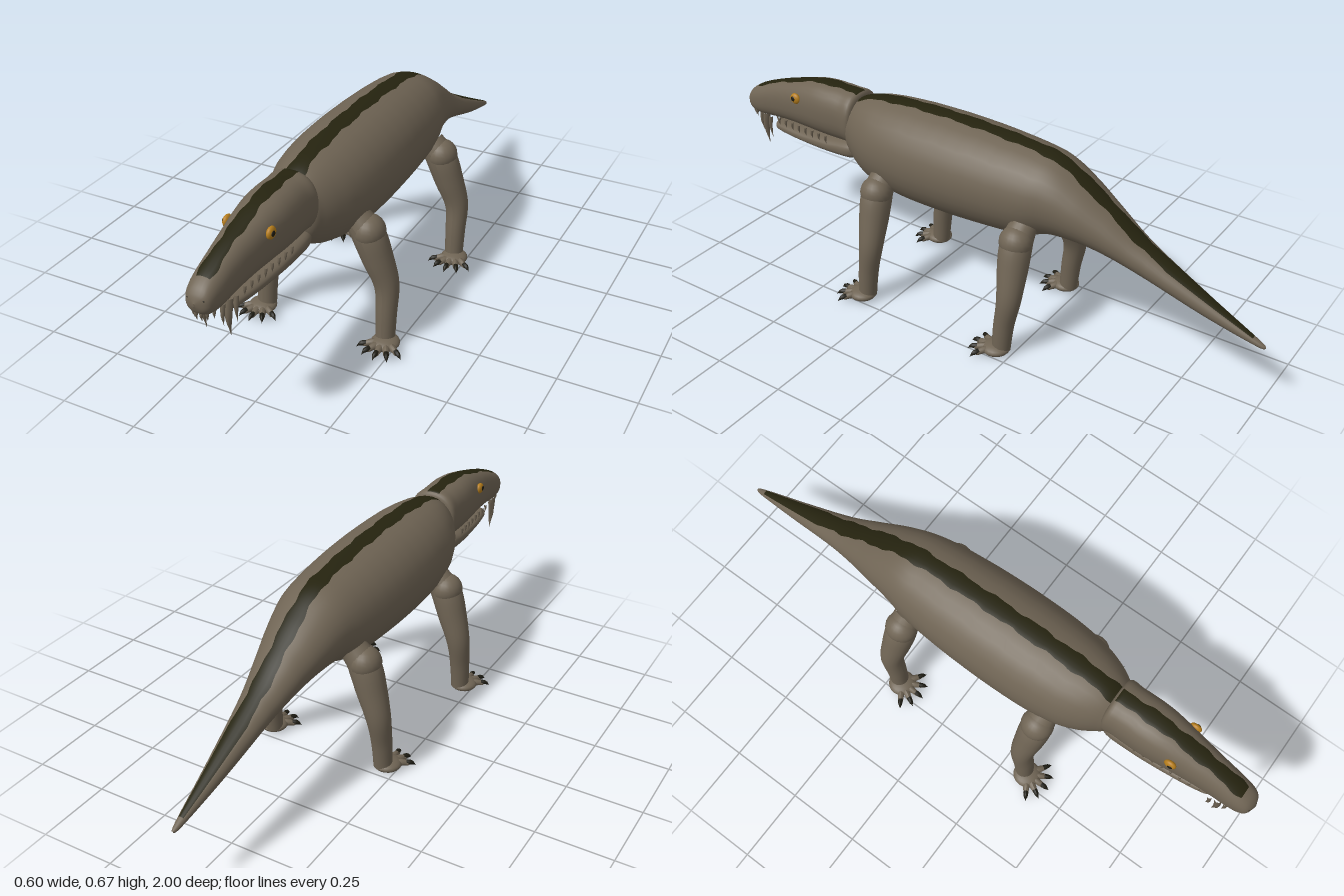
import * as THREE from 'three';

const mat = (name, color) => {
  const m = new THREE.MeshStandardMaterial({ color });
  m.name = name;
  return m;
};

// Smooth interpolation through a list of number rows, t in 0..1
function sample(rows, t) {
  const f = t * (rows.length - 1), i = Math.min(Math.floor(f), rows.length - 2), u = f - i;
  const at = k => rows[Math.max(0, Math.min(rows.length - 1, k))];
  const [a, b, c, d] = [at(i - 1), at(i), at(i + 1), at(i + 2)];
  return b.map((_, k) => b[k] + 0.5 * u * (c[k] - a[k]
    + u * (2 * a[k] - 5 * b[k] + 4 * c[k] - d[k] + u * (3 * (b[k] - c[k]) + d[k] - a[k]))));
}

// Skin over rows of [z, top, bottom, halfWidth]; the top columns form the back stripe
function loft(rows, { steps = 60, power = 1, stripe = [9, 9], width = 0.028 } = {}) {
  const side = 28, band = 4, n = side + band, pos = [], skinIdx = [], stripeIdx = [];
  for (let i = 0; i <= steps; i++) {
    const [z, top, bottom, w] = sample(rows, i / steps);
    const rx = Math.max(w, 0.0005), ry = Math.max((top - bottom) / 2, 0.0005);
    const wave = width + 0.003 * Math.sin(z * 43) + 0.002 * Math.sin(z * 97);
    const a0 = Math.asin(Math.pow(Math.min(wave / rx, 0.6), 1 / power));
    for (let j = 0; j < n; j++) {
      const a = j <= band ? -a0 + 2 * a0 * j / band
        : a0 + (2 * Math.PI - 2 * a0) * (j - band) / side;
      const s = Math.sin(a), c = Math.cos(a);
      pos.push(rx * Math.sign(s) * Math.abs(s) ** power,
        (top + bottom) / 2 + ry * Math.sign(c) * Math.abs(c) ** power, z);
    }
    if (i === steps) break;
    for (let j = 0; j < n; j++) {
      const k = (j + 1) % n, p = i * n;
      const painted = j < band && z >= stripe[0] && z <= stripe[1];
      (painted ? stripeIdx : skinIdx).push(p + j, p + n + j, p + k, p + k, p + n + j, p + n + k);
    }
  }
  const g = new THREE.BufferGeometry();
  g.setAttribute('position', new THREE.Float32BufferAttribute(pos, 3));
  g.setIndex([...skinIdx, ...stripeIdx]);
  g.addGroup(0, skinIdx.length, 0);
  g.addGroup(skinIdx.length, stripeIdx.length, 1);
  g.computeVertexNormals();
  return g;
}

// Tube along points whose radius follows a list
function taper(points, radii, steps = 6, sides = 8) {
  const curve = new THREE.CatmullRomCurve3(points.map(p => new THREE.Vector3(...p)));
  const g = new THREE.TubeGeometry(curve, steps, 1, sides);
  const p = g.attributes.position, v = new THREE.Vector3();
  for (let i = 0; i < p.count; i++) {
    const t = Math.floor(i / (sides + 1)) / steps, c = curve.getPointAt(t);
    const r = Math.max(sample(radii.map(x => [x]), t)[0], 0.0005);
    v.fromBufferAttribute(p, i).sub(c).multiplyScalar(r).add(c);
    p.setXYZ(i, v.x, v.y, v.z);
  }
  g.computeVertexNormals();
  return g;
}

export function createModel() {
  const root = new THREE.Group();
  root.name = 'sabreToothedReptile';
  const skin = mat('skin', 0x6f6454), dark = mat('darkStripe', 0x25230f);
  const amber = mat('eyeAmber', 0xb57d1c), black = mat('clawBlack', 0x1d1b12);
  const add = (name, geometry, material, parent = root) => {
    const m = new THREE.Mesh(geometry, material);
    m.name = name;
    parent.add(m);
    return m;
  };
  const ball = (name, material, p, s, parent) => {
    const m = add(name, new THREE.SphereGeometry(1, 20, 14), material, parent);
    m.position.set(...p);
    m.scale.set(...s);
    return m;
  };

  // Body and tail
  add('bodyAndTail', loft([
    [-1, 0.228, 0.222, 0.002], [-0.97, 0.245, 0.223, 0.012], [-0.8, 0.33, 0.268, 0.034],
    [-0.6, 0.436, 0.335, 0.06], [-0.48, 0.518, 0.37, 0.085], [-0.38, 0.587, 0.385, 0.11],
    [-0.29, 0.636, 0.382, 0.13], [-0.2, 0.653, 0.352, 0.148], [-0.05, 0.665, 0.34, 0.16],
    [0.1, 0.67, 0.335, 0.164], [0.25, 0.669, 0.337, 0.16], [0.36, 0.662, 0.35, 0.145],
    [0.43, 0.652, 0.37, 0.122], [0.48, 0.635, 0.4, 0.095], [0.51, 0.61, 0.43, 0.07],
    [0.53, 0.53, 0.5, 0.005],
  ], { steps: 110, stripe: [-0.96, 0.5] }), [skin, dark]);

  // Head and lower jaw
  add('head', loft([
    [0.485, 0.57, 0.56, 0.003], [0.488, 0.642, 0.47, 0.078], [0.54, 0.651, 0.462, 0.082],
    [0.63, 0.652, 0.462, 0.082], [0.7, 0.642, 0.463, 0.075], [0.78, 0.621, 0.463, 0.064],
    [0.86, 0.597, 0.458, 0.055], [0.93, 0.57, 0.452, 0.05], [0.97, 0.548, 0.457, 0.043],
    [0.99, 0.527, 0.472, 0.03], [1, 0.505, 0.495, 0.003],
  ], { steps: 70, power: 0.85, stripe: [0.49, 0.95], width: 0.023 }), [skin, dark]);
  add('lowerJaw', loft([
    [0.49, 0.45, 0.43, 0.003], [0.5, 0.475, 0.408, 0.06], [0.6, 0.462, 0.403, 0.064],
    [0.72, 0.448, 0.404, 0.055], [0.82, 0.444, 0.407, 0.043], [0.87, 0.44, 0.412, 0.03],
    [0.885, 0.43, 0.424, 0.002],
  ], { steps: 36, power: 0.8 }), [skin, dark]);

  for (const s of [1, -1]) {
    const side = s > 0 ? 'left' : 'right';

    // Eye and nostril
    ball(side + 'Eye', amber, [s * 0.069, 0.587, 0.727], [0.011, 0.019, 0.02]);
    ball(side + 'Pupil', black, [s * 0.0775, 0.588, 0.73], [0.004, 0.009, 0.009]);
    ball(side + 'Nostril', black, [s * 0.023, 0.513, 0.986], [0.006, 0.005, 0.006]);

    // Teeth
    const tooth = (name, x, y, z, len, r) => add(side + name, taper(
      [[s * x, y, z], [s * x, y - len * 0.5, z + len * 0.06], [s * x * 0.97, y - len, z]],
      [r, r * 0.8, 0]), skin);
    tooth('Sabre', 0.04, 0.475, 0.9, 0.12, 0.012);
    tooth('SecondFang', 0.047, 0.47, 0.875, 0.085, 0.007);
    tooth('FrontFang', 0.037, 0.47, 0.925, 0.07, 0.007);
    [[0.031, 0.955], [0.021, 0.972], [0.008, 0.98]].forEach(([x, z]) =>
      tooth('Incisor', x, 0.477, z, 0.036, 0.006));
    for (let i = 0; i < 8; i++) tooth('CheekTooth', 0.061 - i * 0.002, 0.475, 0.61 + i * 0.032, 0.03, 0.005);

    // Legs
    for (const [end, z, bend, dx] of [['front', 0.318, -0.01, 0], ['hind', -0.225, -0.012, -0.004]]) {
      const leg = new THREE.Group();
      leg.name = `${side}${end === 'front' ? 'Front' : 'Hind'}Leg`;
      root.add(leg);
      const X = x => s * (x + dx);
      add('limb', taper([
        [X(0.11), 0.43, z], [X(0.148), 0.385, z], [X(0.18), 0.3, z + bend * 0.5],
        [X(0.208), 0.21, z + bend], [X(0.213), 0.11, z + 0.002], [X(0.214), 0.02, z + 0.01],
      ], [0.045, 0.052, 0.049, 0.042, 0.036, 0.033, 0.031], 28, 20), skin, leg);
      ball('shoulder', skin, [X(0.153), 0.393, z], [0.052, 0.052, 0.054], leg);
      const fx = 0.222, fz = z + 0.025;
      ball('footPad', skin, [X(fx), 0.02, fz], [0.046, 0.02, 0.047], leg);

      // Toes and claws
      for (let i = -2; i <= 2; i++) {
        const a = i * 0.5, at = (r, y) => [X(fx + Math.sin(a) * r), y, fz + Math.cos(a) * r];
        add('toe', taper([at(0.015, 0.02), at(0.045, 0.021), at(0.064, 0.018)],
          [0.013, 0.012, 0.009], 8, 10), skin, leg);
        ball('toeTip', skin, at(0.064, 0.018), [0.009, 0.009, 0.009], leg);
        add('claw', taper([at(0.06, 0.021), at(0.075, 0.02), at(0.091, 0.009)],
          [0.0085, 0.007, 0], 8, 8), black, leg);
      }
    }
  }
  return root;
}
